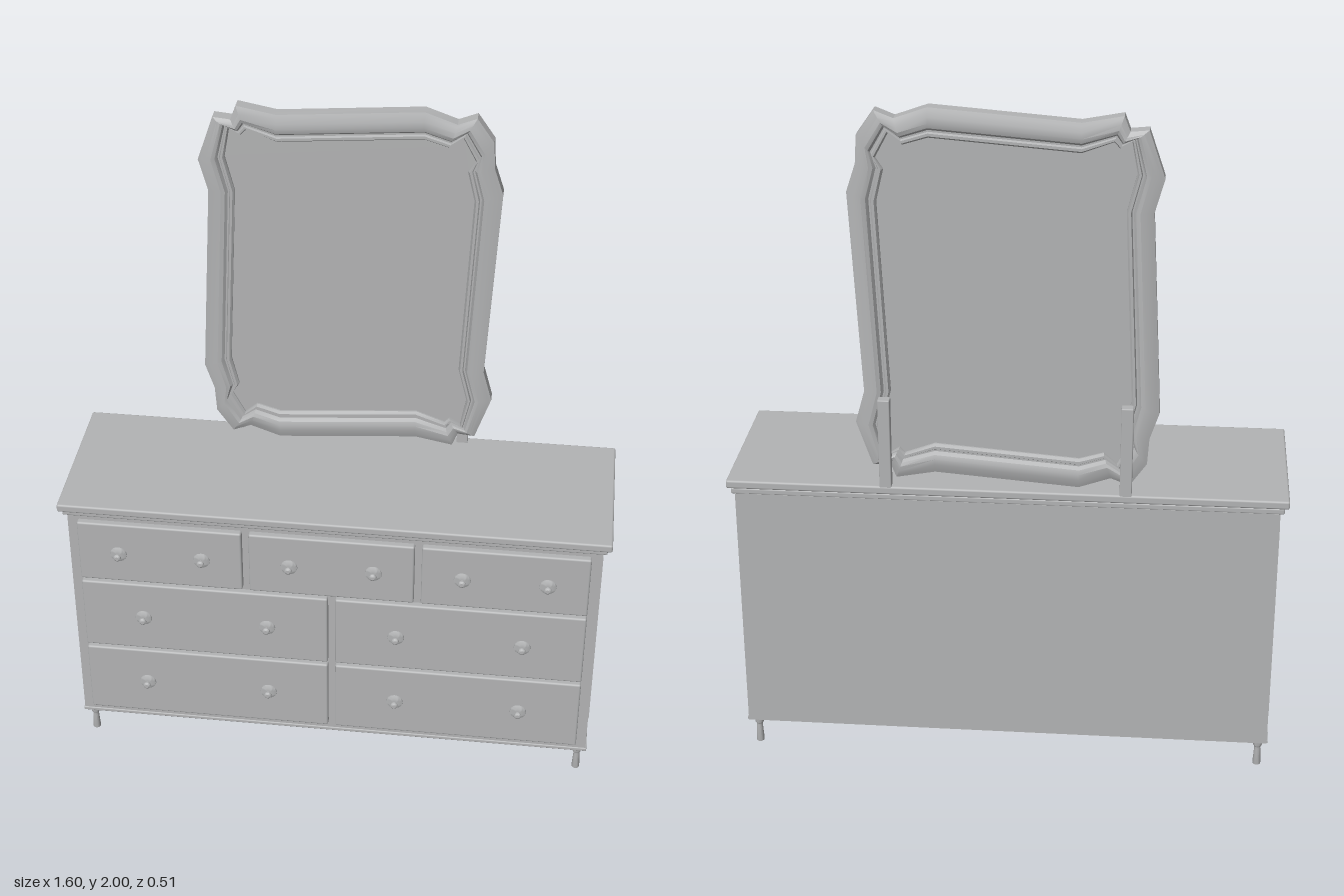
import * as THREE from 'three';
import { toCreasedNormals } from 'three/addons/utils/BufferGeometryUtils.js';
import { RoundedBoxGeometry } from 'three/addons/geometries/RoundedBoxGeometry.js';

const grey = new THREE.MeshStandardMaterial({ color: 0xb2b3b4 });
grey.name = 'grey';

function add(parent, name, geometry, x = 0, y = 0, z = 0) {
  const mesh = new THREE.Mesh(geometry, grey);
  mesh.name = name;
  mesh.position.set(x, y, z);
  parent.add(mesh);
  return mesh;
}

// Box given by its limits, with optional rounded edges
function slab(parent, name, [x0, x1], [y0, y1], [z0, z1], round = 0) {
  const size = [x1 - x0, y1 - y0, z1 - z0];
  const geometry = round ? new RoundedBoxGeometry(...size, 2, round) : new THREE.BoxGeometry(...size);
  return add(parent, name, geometry, (x0 + x1) / 2, (y0 + y1) / 2, (z0 + z1) / 2);
}

function lathe(points, segments) {
  const g = new THREE.LatheGeometry(points.map(p => new THREE.Vector2(...p)), segments);
  return toCreasedNormals(g, 0.6);
}

// Mirror outlines: half a loop about the mirror centre; the other half is turned by 180 degrees
const MIRROR_Y = 1.447;
const outerHalf = [
  [-0.397, 0.273], [-0.423, 0.368], [-0.378, 0.5], [-0.328, 0.495], [-0.312, 0.537], [-0.201, 0.516],
  [0.206, 0.548], [0.296, 0.516], [0.349, 0.537], [0.397, 0.468], [0.402, 0.389], [0.428, 0.31],
];
const innerHalf = [
  [-0.323, 0.273], [-0.349, 0.378], [-0.333, 0.468], [-0.302, 0.447], [-0.286, 0.463], [-0.201, 0.431],
  [0.206, 0.463], [0.275, 0.442], [0.312, 0.474], [0.349, 0.405], [0.328, 0.373], [0.349, 0.283],
];
const fullLoop = half => [...half, ...half.map(([x, y]) => [-x, -y])];
const outer = fullLoop(outerHalf), inner = fullLoop(innerHalf);
const between = (i, t) => outer[i].map((v, k) => v + (inner[i][k] - v) * t);

// Frame moulding swept around both loops: [outer-to-inner fraction, height from mid plane]
function frameGeometry() {
  const front = [[0, 0.018], [0.1, 0.021], [0.3, 0.026], [0.5, 0.028], [0.65, 0.024],
    [0.74, 0.013], [0.8, 0.013], [0.84, 0.019], [0.93, 0.019], [1, 0.01]];
  const section = [...front, ...front.map(([t, z]) => [t, -z]).reverse()];
  const n = outer.length, m = section.length, position = [], index = [];
  for (let i = 0; i < n; i++) {
    for (let j = 0; j < m; j++) {
      position.push(...between(i, section[j][0]), section[j][1]);
      const a = i * m + j, b = ((i + 1) % n) * m + j;
      const c = i * m + (j + 1) % m, d = ((i + 1) % n) * m + (j + 1) % m;
      index.push(a, c, b, b, c, d);
    }
  }
  const g = new THREE.BufferGeometry();
  g.setAttribute('position', new THREE.Float32BufferAttribute(position, 3));
  g.setIndex(index);
  return toCreasedNormals(g, 0.45);
}

function createMirror() {
  const mirror = new THREE.Group();
  mirror.name = 'mirror';
  mirror.position.set(0, MIRROR_Y, -0.205);
  add(mirror, 'mirrorFrame', frameGeometry());
  const outline = new THREE.Shape(outer.map((_, i) => new THREE.Vector2(...between(i, 0.98))));
  add(mirror, 'mirrorGlass', new THREE.ExtrudeGeometry(outline, { depth: 0.01, bevelEnabled: false }), 0, 0, -0.005);
  return mirror;
}

export function createModel() {
  const model = new THREE.Group();
  model.name = 'dresserWithMirror';

  // Carcass
  slab(model, 'body', [-0.775, 0.775], [0.09, 0.853], [-0.254, 0.212]);
  slab(model, 'baseMoulding', [-0.778, 0.778], [0.09, 0.102], [-0.254, 0.215], 0.003);
  slab(model, 'topMoulding', [-0.787, 0.787], [0.851, 0.87], [-0.254, 0.222], 0.005);
  slab(model, 'top', [-0.8, 0.8], [0.868, 0.893], [-0.256, 0.232], 0.006);

  // Side panels and legs
  const legGeometry = lathe([[0, 0], [0.011, 0], [0.012, 0.006], [0.009, 0.055], [0.009, 0.06],
    [0.013, 0.066], [0.013, 0.092], [0, 0.092]], 16);
  for (const s of [-1, 1]) {
    slab(model, 'sidePanel', s < 0 ? [-0.779, -0.77] : [0.77, 0.779], [0.168, 0.79], [-0.198, 0.152]);
    for (const z of [0.185, -0.222]) add(model, 'leg', legGeometry, s * 0.75, 0, z);
  }

  // Drawers with two knobs each
  const knobGeometry = lathe([[0, 0], [0.025, 0], [0.024, 0.004], [0.016, 0.008], [0.006, 0.01],
    [0.006, 0.015], [0.011, 0.018], [0.011, 0.022], [0.006, 0.026], [0, 0.026]], 20);
  knobGeometry.rotateX(Math.PI / 2);
  const thirds = [[-0.745, -0.262], [-0.241, 0.241], [0.262, 0.745]];
  const halves = [[-0.745, -0.011], [0.011, 0.745]];
  const rows = [
    { y: [0.63, 0.835], columns: thirds, knobY: 0.73, spread: 0.123 },
    { y: [0.377, 0.619], columns: halves, knobY: 0.496, spread: 0.186 },
    { y: [0.125, 0.366], columns: halves, knobY: 0.244, spread: 0.186 },
  ];
  for (const { y, columns, knobY, spread } of rows) {
    for (const x of columns) {
      slab(model, 'drawerFront', x, y, [0.19, 0.231], 0.006);
      for (const s of [-1, 1]) add(model, 'knob', knobGeometry, (x[0] + x[1]) / 2 + s * spread, knobY, 0.23);
    }
  }

  // Mirror and its two posts
  for (const s of [-1, 1]) {
    slab(model, 'mirrorPost', [s * 0.34 - 0.017, s * 0.34 + 0.017], [0.88, 1.16], [-0.255, -0.226], 0.003);
  }
  model.add(createMirror());
  return model;
}
